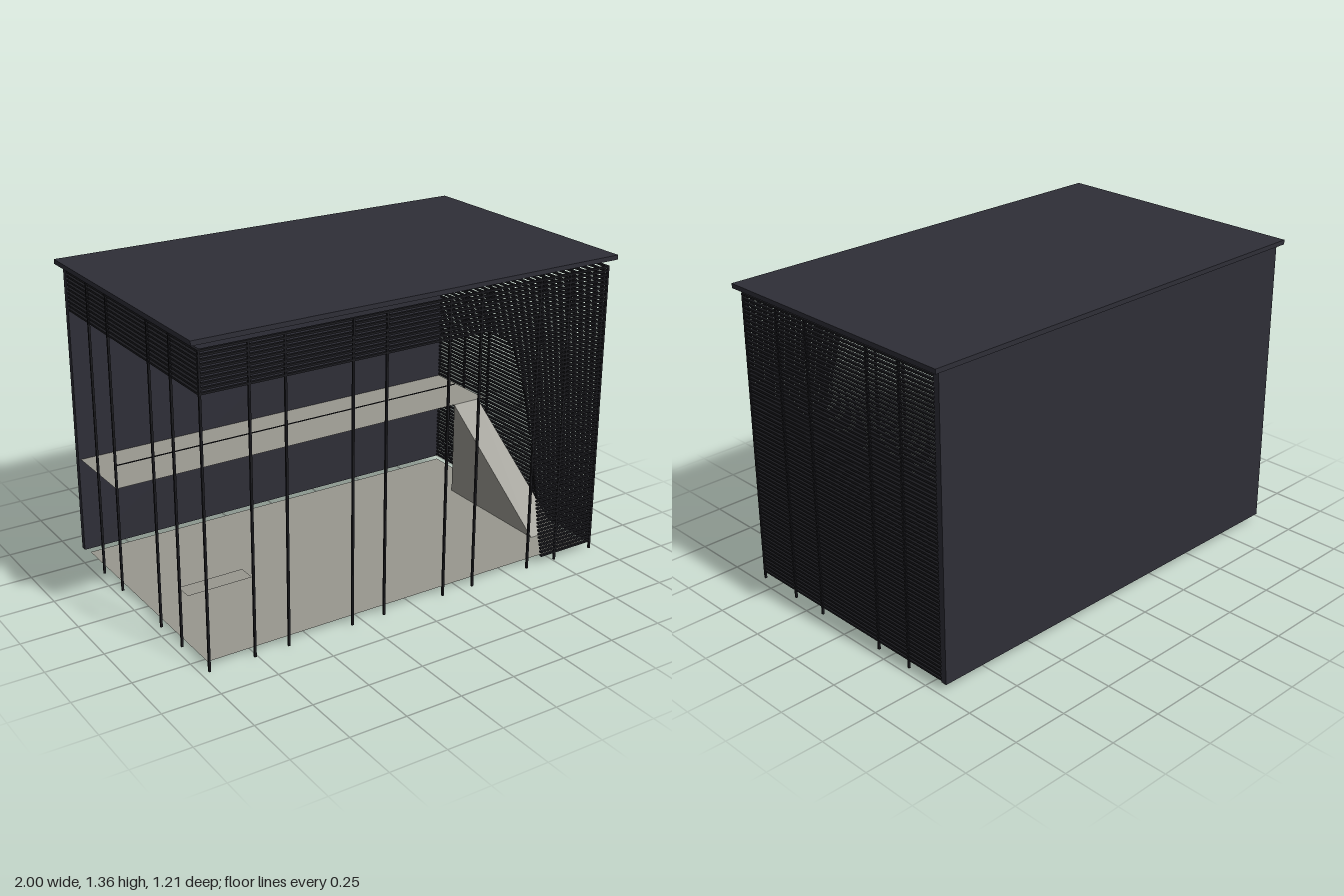
import * as THREE from 'three';

const mat = (name, color) => {
  const m = new THREE.MeshStandardMaterial({ color });
  m.name = name;
  return m;
};

export function createModel() {
  const charcoal = mat('charcoal', 0x2e2e37);
  const black = mat('black', 0x1a1a1e);
  const concrete = mat('concrete', 0x98978f);
  concrete.side = THREE.DoubleSide;
  const model = new THREE.Group();

  const group = (name) => {
    const g = new THREE.Group();
    g.name = name;
    model.add(g);
    return g;
  };
  // box given by its low and high corner
  const box = (parent, name, material, [x0, y0, z0], [x1, y1, z1]) => {
    const mesh = new THREE.Mesh(new THREE.BoxGeometry(x1 - x0, y1 - y0, z1 - z0), material);
    mesh.position.set((x0 + x1) / 2, (y0 + y1) / 2, (z0 + z1) / 2);
    mesh.name = name;
    parent.add(mesh);
  };
  // horizontal sheet without thickness
  const sheet = (name, x0, x1, z0, z1, y) => {
    const mesh = new THREE.Mesh(new THREE.PlaneGeometry(x1 - x0, z1 - z0).rotateX(-Math.PI / 2), concrete);
    mesh.position.set((x0 + x1) / 2, y, (z0 + z1) / 2);
    mesh.name = name;
    model.add(mesh);
  };

  // Shell
  box(model, 'roof', charcoal, [-1, 1.34, -0.605], [1, 1.36, 0.605]);
  box(model, 'backWall', charcoal, [-0.97, 0.03, -0.587], [0.97, 1.34, -0.56]);
  sheet('floor', -0.95, 0.95, -0.545, 0.55, 0.02);
  sheet('mezzanine', -0.96, 0.96, -0.56, -0.2, 0.465);
  sheet('bench', -0.85, -0.55, 0.115, 0.2, 0.115);
  box(model, 'railing', black, [-0.96, 0.568, -0.202], [0.785, 0.572, -0.198]);

  // Stair wedge, its profile drawn in z and y
  const profile = new THREE.Shape([[-0.4, 0.02], [0.2, 0.02], [0.2, 0.465]].map(([a, b]) => new THREE.Vector2(a, b)));
  const stairGeometry = new THREE.ExtrudeGeometry(profile, { depth: 0.14, bevelEnabled: false });
  const stair = new THREE.Mesh(stairGeometry.rotateY(Math.PI / 2), concrete);
  stair.position.x = 0.785;
  stair.name = 'stair';
  model.add(stair);

  // Slender posts along the front and both sides
  const posts = group('posts');
  const post = (x, z) =>
    box(posts, 'post', black, [x - 0.0045, 0, z - 0.0045], [x + 0.0045, 1.315, z + 0.0045]);
  for (const s of [-1, 1]) {
    for (const x of [0.15, 0.305, 0.605, 0.76, 0.963]) post(s * x, 0.588);
    for (const z of [-0.365, -0.182, 0.182, 0.365]) post(s * 0.966, z);
  }

  // Left end of each front slat: a sweeping curve below the top band
  const edge = [[0.03, 0.685], [0.166, 0.66], [0.326, 0.64], [0.46, 0.615], [0.567, 0.6], [0.727, 0.57],
    [0.835, 0.545], [0.94, 0.51], [1.035, 0.48], [1.085, 0.44], [1.115, 0.39], [1.145, 0.32]];
  const frontStart = (y) => {
    const i = Math.max(1, edge.findIndex((p) => p[0] >= y));
    const [y0, x0] = edge[i - 1], [y1, x1] = edge[i];
    return x0 + (x1 - x0) * (y - y0) / (y1 - y0);
  };

  // Louvre slats
  const front = group('frontSlats');
  const left = group('leftSlats');
  const right = group('rightSlats');
  const count = 71, bottom = 0.038, top = 1.311, half = 0.0043;
  for (let i = 0; i < count; i++) {
    const y = bottom + (top - bottom) * i / (count - 1);
    const band = y > 1.145;
    box(front, 'slat', black, [band ? -0.968 : frontStart(y), y - half, 0.58], [0.968, y + half, 0.592]);
    box(left, 'slat', black, [0.956, y - half, -0.56], [0.968, y + half, 0.58]);
    if (band) box(right, 'slat', black, [-0.968, y - half, -0.56], [-0.956, y + half, 0.58]);
  }
  return model;
}
